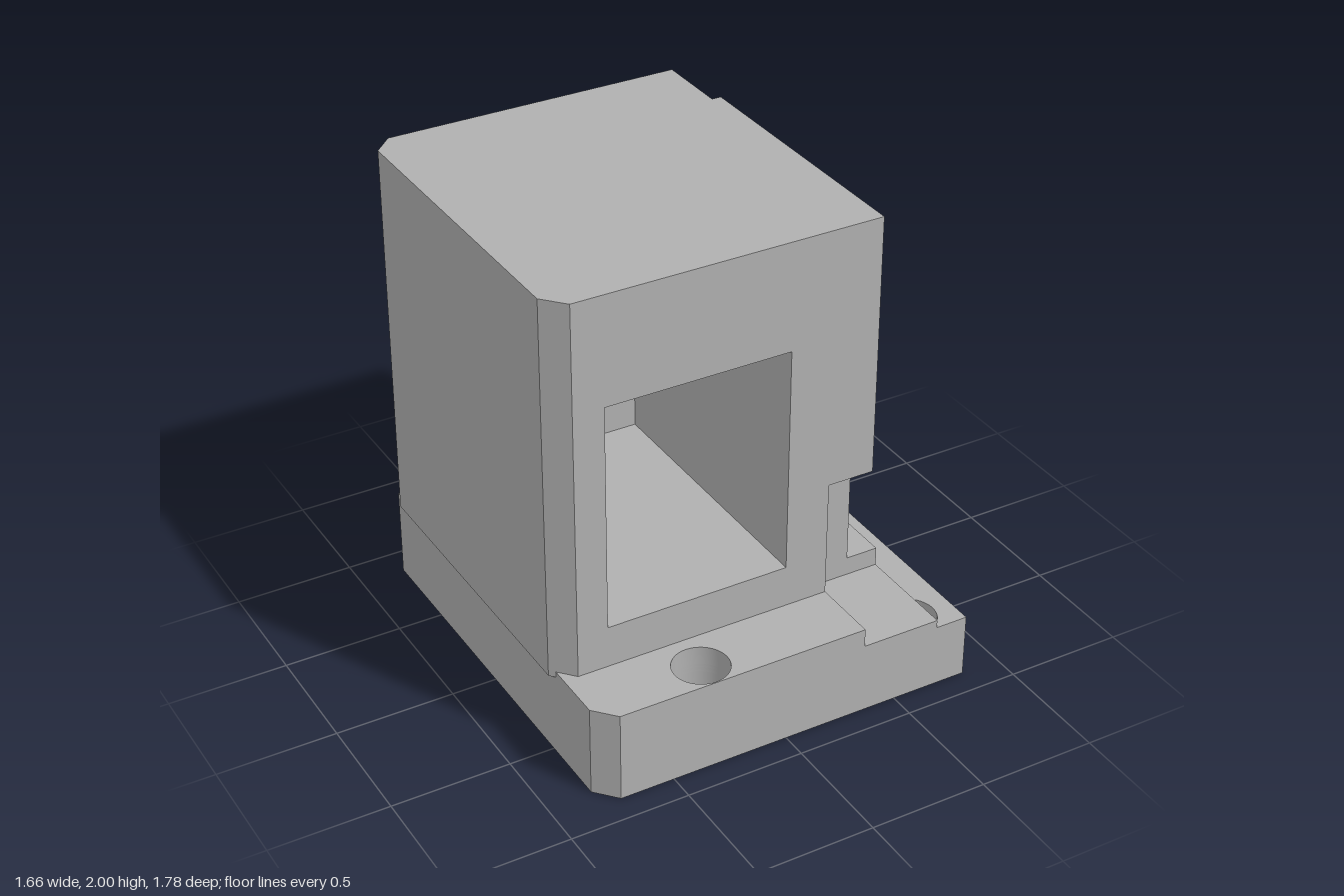
import * as THREE from 'three';
import { toCreasedNormals } from 'three/addons/utils/BufferGeometryUtils.js';

const R = 0.115;                       // radius of the vertical bores
const FRONT_LEFT = [-0.315, 0.77], FRONT_RIGHT = [0.635, 0.77];
const BACK = [-0.315, -0.59], NOTCH = [0.635, -0.59];

// Points along an arc, from angle a to angle b
function arc([cx, cy], r, a, b, n = 40) {
  return Array.from({ length: n + 1 }, (_, i) => {
    const t = a + (b - a) * i / n;
    return [cx + r * Math.cos(t), cy + r * Math.sin(t)];
  });
}
const circle = (c, r, n = 48) => arc(c, r, 0, Math.PI * 2, n).slice(0, -1);
const hexagon = (c, r) => arc(c, r, Math.PI / 2, Math.PI * 2.5, 6).slice(0, -1);

function extrude(outline, holes, depth) {
  const vec = (pts) => pts.map(([x, y]) => new THREE.Vector2(x, y));
  const shape = new THREE.Shape(vec(outline));
  shape.holes = holes.map((h) => new THREE.Path(vec(h)));
  return new THREE.ExtrudeGeometry(shape, { depth, bevelEnabled: false });
}

export function createModel() {
  const group = new THREE.Group();
  const grey = new THREE.MeshStandardMaterial({ color: 0xb0b0b0 });
  grey.name = 'machinedGrey';

  function add(name, geometry) {
    const mesh = new THREE.Mesh(toCreasedNormals(geometry, 0.5), grey);
    mesh.name = name;
    group.add(mesh);
  }
  // Slab with an x-z outline, extruded upwards
  function slab(name, y0, y1, outline, holes = []) {
    const flip = (pts) => pts.map(([x, z]) => [x, -z]);
    const g = extrude(flip(outline), holes.map(flip), y1 - y0);
    add(name, g.rotateX(-Math.PI / 2).translate(0, y0, 0));
  }
  // Plate with an x-y outline, extruded towards the front
  function plate(name, z0, z1, outline, holes) {
    add(name, extrude(outline, holes, z1 - z0).translate(0, 0, z0));
  }

  // Base, in layers: chamfered front corner, round notch at the back right
  const notchEnd = Math.PI - 0.175;
  const baseLeft = [[-0.81, -0.87], [-0.81, 0.8], [-0.73, 0.89]];
  const baseBack = (start) => [...arc(NOTCH, R, start, notchEnd), [0.51, -0.57], [0.51, -0.87]];
  const bores = [circle(FRONT_LEFT, R), circle(BACK, R)];
  const ledge = Math.acos(0.055 / R);  // where a bore meets the ledge side

  slab('basePlate', 0, 0.275,
    [...baseLeft, [0.83, 0.89], [0.83, -0.57], ...baseBack(0.175)],
    [...bores, circle(FRONT_RIGHT, R)]);
  slab('boreRelief', 0.275, 0.295,
    [...baseLeft, [0.69, 0.89], ...arc(FRONT_RIGHT, R, ledge, Math.PI * 2 - ledge), ...baseBack(ledge)],
    bores);
  slab('channelFloor', 0.295, 0.31,
    [...baseLeft, [0.69, 0.89], ...baseBack(ledge)], bores);
  slab('baseLedge', 0.31, 0.39,
    [...baseLeft, [0.35, 0.89], [0.35, 0.45], [0.69, 0.45], ...baseBack(ledge)], bores);

  // Body: chamfered left corners, stepped back right corner
  const bodyLeft = [[-0.75, -0.89], [-0.83, -0.81], [-0.83, 0.51], [-0.75, 0.6]];
  const bodyBack = [[0.55, -0.57], [0.51, -0.57], [0.51, -0.89]];
  const channel = [[0.35, 0.6], [0.35, 0.45], [0.55, 0.45]];
  const bodyNotch = arc(NOTCH, R, Math.acos(-0.085 / R), notchEnd, 8);

  slab('bodyFoot', 0.365, 0.41,
    [...bodyLeft, ...channel, ...bodyNotch, ...bodyBack.slice(1)], [circle(BACK, R)]);
  slab('bodyLeftWall', 0.41, 1.7, [[-0.62, -0.89], ...bodyLeft, [-0.62, 0.6]]);
  slab('bodyRightWallLower', 0.41, 0.89,
    [[0.165, -0.89], [0.165, 0.6], ...channel, ...bodyBack]);
  slab('bodyRightWallUpper', 0.89, 1.7,
    [[0.165, -0.89], [0.165, 0.6], [0.55, 0.6], ...bodyBack]);
  slab('bodyTop', 1.7, 2, [...bodyLeft, [0.55, 0.6], ...bodyBack]);

  // Floor and ceiling of the front pocket
  const pocket = [[-0.62, -0.6], [-0.62, 0.6], [0.165, 0.6], [0.165, -0.6]];
  slab('pocketFloor', 0.41, 0.57, pocket);
  slab('pocketCeiling', 1.54, 1.7, pocket);

  // Back wall with bolt holes and hexagonal nut recesses
  const panel = [[-0.62, 0.41], [0.165, 0.41], [0.165, 1.7], [-0.62, 1.7]];
  const bolts = [[-0.23, 0.71], [-0.23, 1.4]];
  plate('nutRecessPanel', -0.89, -0.71, panel, bolts.map((c) => hexagon(c, 0.148)));
  plate('boltHolePanel', -0.71, -0.6, panel, bolts.map((c) => circle(c, 0.075)));

  return group;
}
